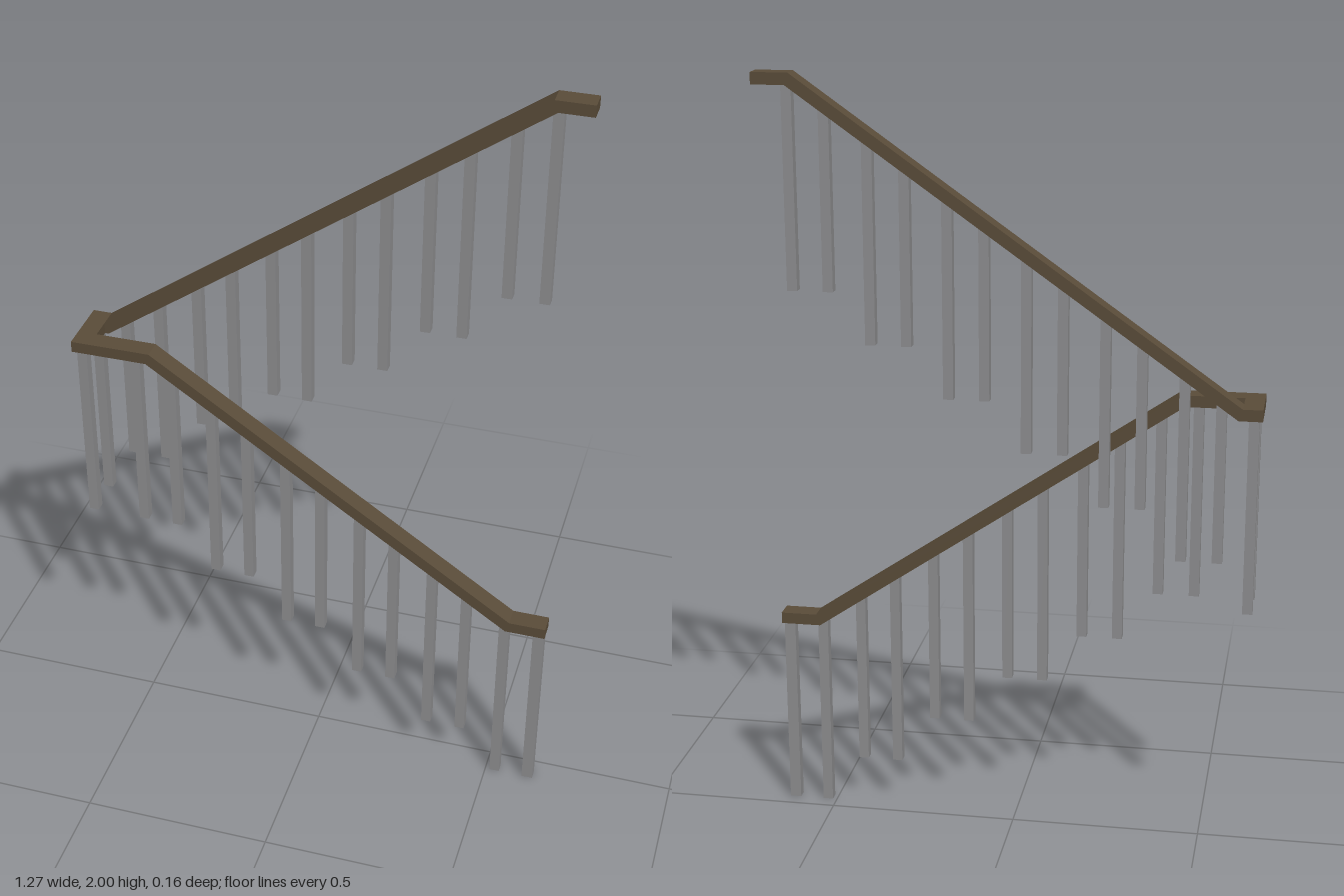
import * as THREE from 'three';

export function createModel() {
  const group = new THREE.Group();
  group.name = 'stairRailing';
  const wood = new THREE.MeshStandardMaterial({ color: 0x5a4c39 });
  wood.name = 'dark brown wood';
  const metal = new THREE.MeshStandardMaterial({ color: 0x8e8e90 });
  metal.name = 'grey metal';

  const zFront = 0.053, zBack = -0.053, railWidth = 0.052, post = 0.026;

  function add(name, geometry, material, x, y, z) {
    const mesh = new THREE.Mesh(geometry, material);
    mesh.name = name;
    mesh.position.set(x, y, z);
    group.add(mesh);
  }

  // Handrail: side outline extruded across its width
  function rail(name, outline, z) {
    const shape = new THREE.Shape(outline.map(([x, y]) => new THREE.Vector2(x, y)));
    const geometry = new THREE.ExtrudeGeometry(shape, { depth: railWidth, bevelEnabled: false });
    add(name, geometry, wood, 0, 0, z - railWidth / 2);
  }
  rail('lowerHandrail', [
    [-0.635, 1.175], [-0.435, 1.175], [0.53, 0.52], [0.635, 0.52],
    [0.635, 0.55], [0.54, 0.55], [-0.425, 1.205], [-0.635, 1.205],
  ], zFront);
  rail('upperHandrail', [
    [-0.585, 1.175], [-0.575, 1.175], [0.55, 1.97], [0.635, 1.97],
    [0.635, 2], [0.54, 2], [-0.585, 1.205],
  ], zBack);

  // Crosspiece joining both flights at the landing
  const zEnd = zBack - railWidth / 2, zStart = zFront - railWidth / 2;
  add('landingHandrail', new THREE.BoxGeometry(0.05, 0.03, zStart - zEnd), wood,
    -0.61, 1.19, (zStart + zEnd) / 2);

  // Heights along the middle of each handrail
  const lowerMid = x => THREE.MathUtils.clamp(1.19 - (x + 0.43) * 0.679, 0.535, 1.19);
  const upperMid = x => THREE.MathUtils.clamp(1.19 + (x + 0.58) * 0.707, 1.19, 1.985);

  function baluster(name, x, bottom, top, z) {
    add(name, new THREE.BoxGeometry(post, top - bottom, post), metal, x, (top + bottom) / 2, z);
  }

  // Two balusters per tread, one step lower or higher each time
  const rise = 0.1325;
  for (let i = 0; i < 6; i++) {
    for (const dx of [0, 0.092]) {
      const xl = -0.375 + i * 0.1987 - (dx ? 0.199 - 0.105 : 0);
      baluster('lowerBaluster', xl, 0.6625 - i * rise, lowerMid(xl), zFront);
      const xu = -0.532 + i * 0.198 + dx;
      baluster('upperBaluster', xu, 0.795 + i * rise, upperMid(xu), zBack);
    }
  }
  // Last baluster of the lower flight, standing on the floor
  baluster('lowerBaluster', 0.615, 0, 0.535, zFront);
  baluster('lowerBaluster', 0.525, 0, 0.535, zFront);

  // Landing corner balusters
  for (const z of [zFront, zBack]) baluster('landingBaluster', -0.613, 0.6625, 1.19, z);
  return group;
}
